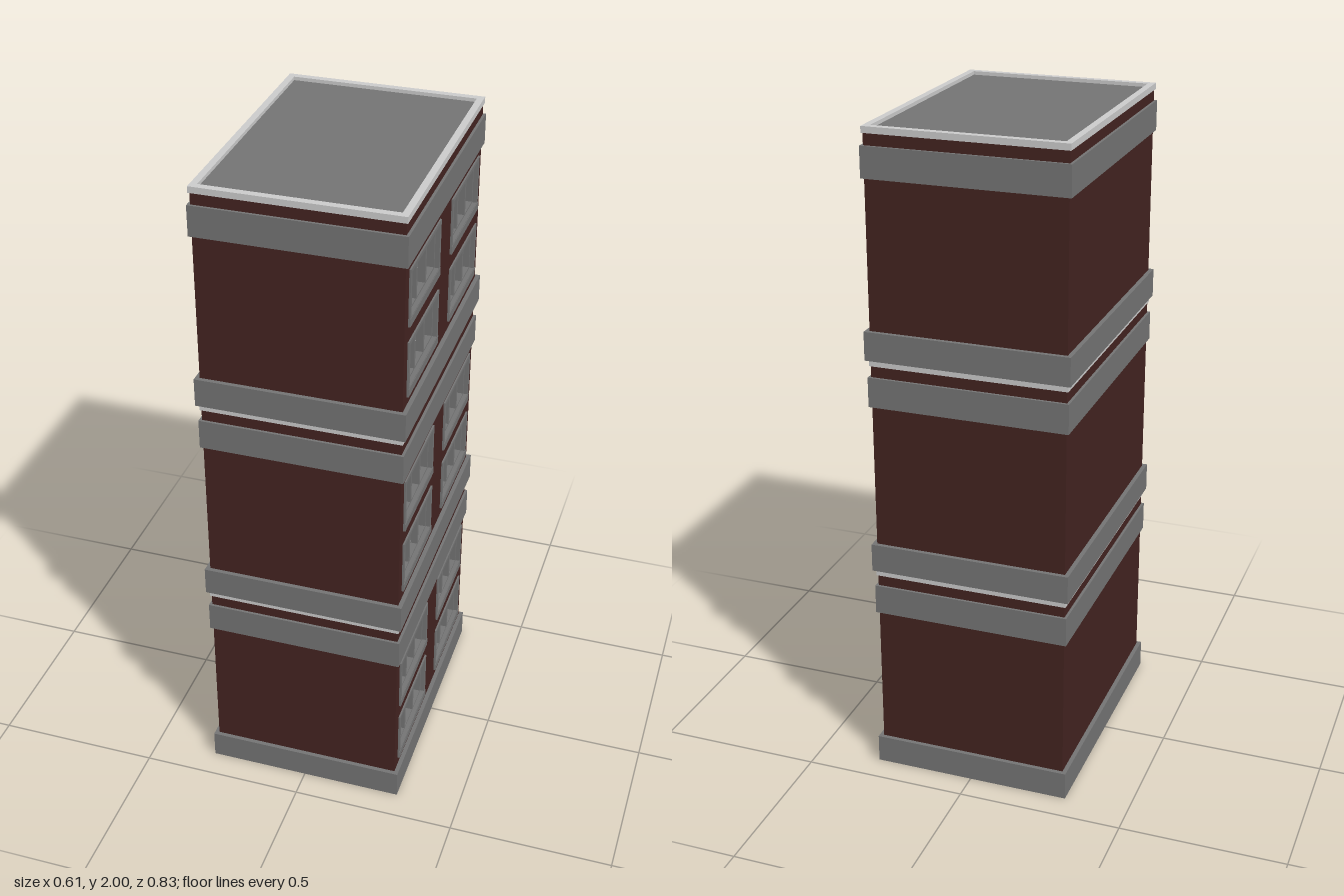
import * as THREE from 'three';

const brick = new THREE.MeshStandardMaterial({ color: 0x432320 });
const stone = new THREE.MeshStandardMaterial({ color: 0x747474 });
const light = new THREE.MeshStandardMaterial({ color: 0xcccccc });

const STOREY = 2 / 3;
const HX = 0.292, HZ = 0.402, WALL = 0.04, WALL_TOP = 0.652;

function mesh(name, geometry, material, x = 0, y = 0, z = 0) {
  const m = new THREE.Mesh(geometry, material);
  m.name = name;
  m.position.set(x, y, z);
  return m;
}

// Adds a rectangle outline to a Shape or Path
function rect(path, x0, y0, x1, y1) {
  path.moveTo(x0, y0);
  path.lineTo(x1, y0);
  path.lineTo(x1, y1);
  path.lineTo(x0, y1);
  path.closePath();
  return path;
}

// Rectangular plate with rectangular holes, as [x0, y0, x1, y1]
function plate(outer, holes, depth) {
  const shape = rect(new THREE.Shape(), ...outer);
  for (const h of holes) shape.holes.push(rect(new THREE.Path(), ...h));
  return new THREE.ExtrudeGeometry(shape, { depth, bevelEnabled: false });
}

// Horizontal ring running round the building
function ring(name, hx, hz, ix, iz, y0, y1, material) {
  const g = plate([-hx, -hz, hx, hz], [[-ix, -iz, ix, iz]], y1 - y0);
  g.rotateX(-Math.PI / 2);
  return mesh(name, g, material, 0, y0);
}

// Upright plate facing +x, with its back at x
function sidePlate(name, outer, holes, depth, x, material) {
  return mesh(name, plate(outer, holes, depth).rotateY(Math.PI / 2), material, x);
}

// Three-pane window centred on z = 0, sill at y = 0
function createWindow() {
  const g = new THREE.Group();
  g.name = 'window';
  const w = 0.153, h = 0.17;
  g.add(sidePlate('windowFrame', [-w, 0.022, w, h], [[-0.14, 0.026, 0.14, h - 0.011]], 0.042, HX - 0.037, stone));
  g.add(mesh('windowSill', new THREE.BoxGeometry(0.045, 0.024, 2 * w), stone, HX - 0.016, 0.012));
  const panes = [-0.092, 0, 0.092].map(c => [c - 0.04, 0.031, c + 0.04, h - 0.015]);
  g.add(sidePlate('windowMullions', [-0.141, 0.022, 0.141, h - 0.01], panes, 0.027, HX - 0.035, stone));
  g.add(mesh('windowGlass', new THREE.BoxGeometry(0.008, h - 0.03, 0.285), light, HX - 0.033, h / 2 + 0.005));
  return g;
}

function createStorey() {
  const g = new THREE.Group();
  g.name = 'storey';
  const ix = HX - WALL, iz = HZ - WALL;

  // Three plain walls and one wall pierced for the windows
  for (const s of [-1, 1]) {
    g.add(mesh(s > 0 ? 'frontWall' : 'backWall',
      new THREE.BoxGeometry(2 * HX - WALL, WALL_TOP, WALL), brick,
      -WALL / 2, WALL_TOP / 2, s * (HZ - WALL / 2)));
  }
  g.add(mesh('rightWall', new THREE.BoxGeometry(WALL, WALL_TOP, 2 * iz), brick,
    -HX + WALL / 2, WALL_TOP / 2));

  const openings = [];
  for (const y of [0.113, 0.33]) {
    for (const z of [-0.215, 0.215]) {
      openings.push([z - 0.152, y + 0.002, z + 0.152, y + 0.169]);
      const win = createWindow();
      win.position.set(0, y, z);
      g.add(win);
    }
  }
  g.add(sidePlate('windowWall', [-HZ, 0, HZ, WALL_TOP], openings, WALL, HX - WALL, brick));

  // Stone bands and the pale coping
  g.add(ring('baseBand', 0.305, 0.415, ix, iz, 0, 0.086, stone));
  g.add(ring('upperBand', 0.3, 0.41, HX - 0.01, HZ - 0.01, 0.524, 0.614, stone));
  g.add(ring('coping', 0.296, 0.406, 0.276, 0.385, 0.648, STOREY, light));
  g.add(mesh('roofDeck', new THREE.BoxGeometry(0.554, 0.012, 0.772), stone, 0, 0.65));
  return g;
}

export function createModel() {
  const building = new THREE.Group();
  building.name = 'building';
  for (let i = 0; i < 3; i++) {
    const storey = createStorey();
    storey.position.y = i * STOREY;
    building.add(storey);
  }
  return building;
}
